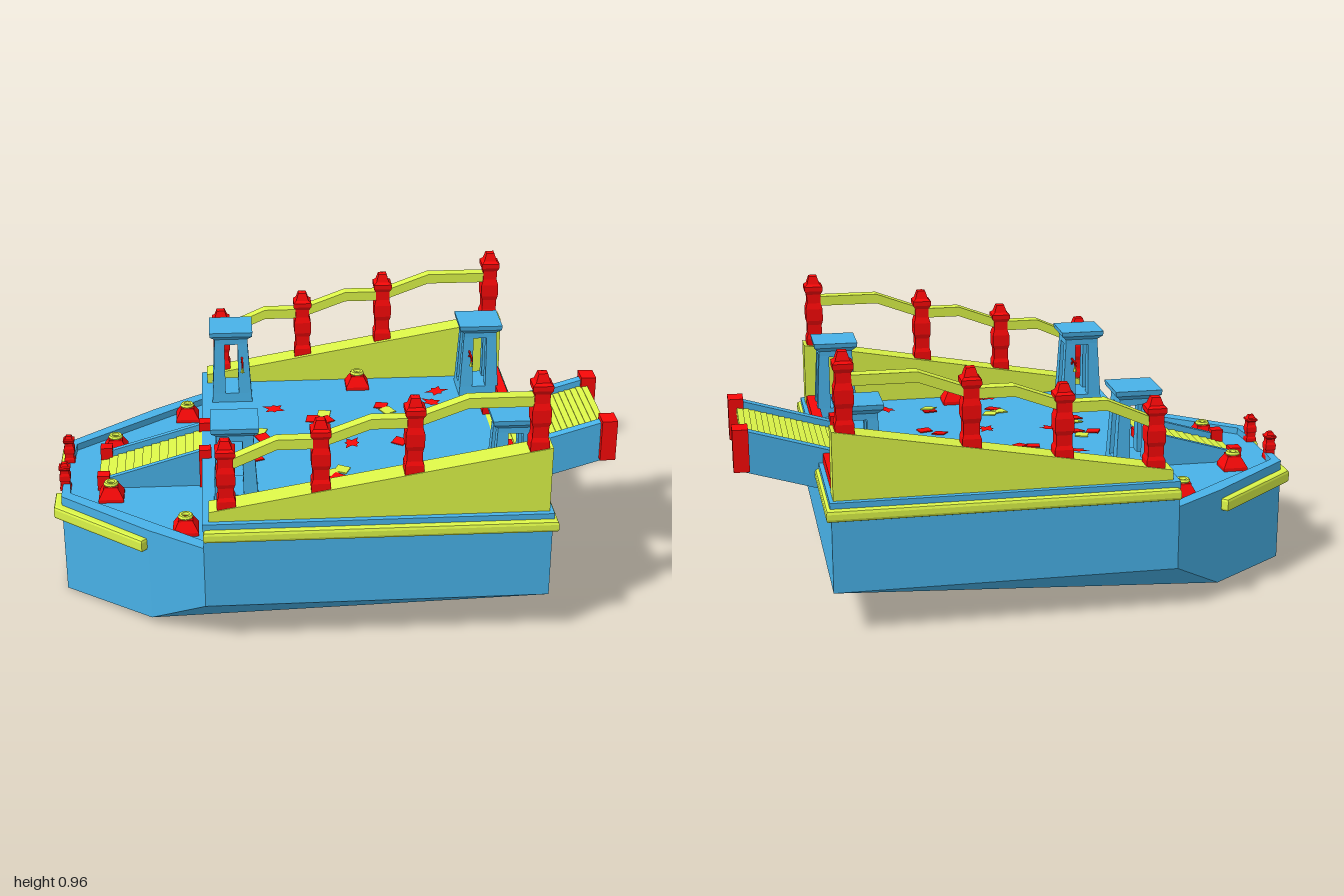
import * as THREE from 'three';

const mat = (color) => new THREE.MeshStandardMaterial({ color, flatShading: true, side: THREE.DoubleSide });

export function createModel() {
  const root = new THREE.Group();
  const blue = mat(0x48b2e8), red = mat(0xf80808), lime = mat(0xdcf548);

  const add = (name, geo, material, parent = root) => {
    const m = new THREE.Mesh(geo, material);
    m.name = name;
    parent.add(m);
    return m;
  };
  // box given by its limits
  const box = (name, material, x0, x1, y0, y1, z0, z1, parent) => {
    const m = add(name, new THREE.BoxGeometry(x1 - x0, y1 - y0, z1 - z0), material, parent);
    m.position.set((x0 + x1) / 2, (y0 + y1) / 2, (z0 + z1) / 2);
    return m;
  };
  const shape = (pts) => new THREE.Shape(pts.map((p) => new THREE.Vector2(...p)));
  // side outline (x, y) extruded from z0 to z1
  const prism = (name, material, pts, z0, z1, parent) =>
    add(name, new THREE.ExtrudeGeometry(shape(pts), { depth: z1 - z0, bevelEnabled: false }).translate(0, 0, z0), material, parent);
  // plan outline (x, z) extruded from y0 to y1, with optional rounded edge
  const slab = (name, material, pts, y0, y1, parent, bevel = 0) =>
    add(name, new THREE.ExtrudeGeometry(shape(pts), {
      depth: y1 - y0 - 2 * bevel, bevelEnabled: bevel > 0, bevelSize: bevel,
      bevelThickness: bevel, bevelOffset: -bevel, bevelSegments: 2,
    }).rotateX(Math.PI / 2).translate(0, y1 - bevel, 0), material, parent);
  // square-section turned shape, profile of [half width, y]
  const squareLathe = (profile) => new THREE.LatheGeometry(
    profile.map(([w, y]) => new THREE.Vector2(w * Math.SQRT2, y)), 4, Math.PI / 4);

  const DECK = 0.465, BOW = 0.35;

  // hull: sloping bottom plane, chine triangles and walls
  const pos = [];
  const face = (...p) => {
    for (let i = 1; i < p.length - 1; i++) pos.push(...p[0], ...p[i], ...p[i + 1]);
  };
  const keel = [[0.704, 0.15, 0.624], [-0.47, 0.15, 0.624], [-0.66, 0.028, 0.485], [-0.97, 0.003, 0.22]];
  const flip = ([x, y, z]) => [x, y, -z];
  const up = ([x, , z]) => [x, BOW, z];
  const [A, B, C, D] = keel;
  face(A, C, D, flip(D), flip(C), flip(A));
  face(A, B, C);
  face(flip(A), flip(C), flip(B));
  for (let i = 0; i < 3; i++) {
    const p = keel[i], q = keel[i + 1];
    face(p, up(p), up(q), q);
    face(flip(p), flip(q), up(flip(q)), up(flip(p)));
  }
  face(D, up(D), up(flip(D)), flip(D));
  face(A, flip(A), up(flip(A)), up(A));
  face(up(B), up(flip(B)), up(flip(C)), up(flip(D)), up(D), up(C));
  const hull = new THREE.BufferGeometry();
  hull.setAttribute('position', new THREE.Float32BufferAttribute(pos, 3));
  hull.computeVertexNormals();
  add('hull', hull, blue);
  box('upperHull', blue, -0.47, 0.704, BOW, 0.445, -0.624, 0.624);
  box('mainDeck', blue, -0.472, 0.708, 0.44, DECK, -0.626, 0.626);

  // rubbing belt round the sides and stern
  slab('belt', lime, [[-0.47, -0.648], [0.722, -0.648], [0.722, 0.648], [-0.47, 0.648],
    [-0.47, 0.6], [0.68, 0.6], [0.68, -0.6], [-0.47, -0.6]], 0.403, 0.445, root, 0.012);

  // baluster post
  const postGeo = (h, s = 1) => squareLathe([[0, 0], [0.032, 0], [0.032, 0.13], [0.027, 0.18], [0.027, 0.32],
    [0.032, 0.38], [0.032, 0.54], [0.026, 0.62], [0.026, 0.74], [0.034, 0.79], [0.034, 0.85],
    [0.024, 0.88], [0.015, 0.985], [0, 1]].map(([w, y]) => [w * s, y * h]));
  const wedgeTop = (x) => 0.5 + 0.2 * (x + 0.45) / 1.145;
  const bollardGeo = squareLathe([[0, 0], [0.044, 0], [0.044, 0.012], [0.025, 0.046], [0.025, 0.052], [0, 0.052]]);

  // mirrored pair of everything along the two sides
  for (const side of [1, -1]) {
    const g = new THREE.Group();
    g.name = side > 0 ? 'frontSide' : 'backSide';
    g.scale.z = side;
    root.add(g);

    slab('bowRim', blue, [[-0.97, 0.11], [-0.97, 0.22], [-0.66, 0.485], [-0.47, 0.624], [-0.47, 0.57], [-0.94, 0.195], [-0.945, 0.11]],
      BOW, 0.375, g);
    slab('bowRubRail', lime, [[-0.998, 0.12], [-0.998, 0.235], [-0.682, 0.502], [-0.66, 0.478], [-0.96, 0.218], [-0.96, 0.12]],
      0.295, 0.342, g, 0.01);
    add('bowPost', postGeo(0.105, 0.6), red, g).position.set(-0.962, BOW, 0.11);

    prism('bulwark', lime, [[-0.45, DECK], [0.695, DECK], [0.695, 0.7], [-0.45, 0.5]], 0.522, 0.606, g);
    [[-0.39, 0.755], [-0.075, 0.82], [0.235, 0.89], [0.65, 0.965]].forEach(([x, top]) => {
      const y = wedgeTop(x) - 0.008;
      add('railPost', postGeo(top - y), red, g).position.set(x, y, 0.57);
    });
    const rail = [[-0.39, 0.66], [-0.22, 0.735], [-0.085, 0.735], [0.09, 0.8], [0.235, 0.8], [0.41, 0.865], [0.65, 0.865]];
    prism('handrail', lime, [...rail.map(([x, y]) => [x, y + 0.018]),
      ...rail.map(([x, y]) => [x, y - 0.018]).reverse()], 0.548, 0.592, g);

    box('sternSill', red, 0.655, 0.692, DECK, 0.5, 0.2, 0.522, g);

    [[-0.795, BOW, 0.19], [-0.53, BOW, 0.45], [0.13, DECK, 0.455]].forEach((p) => {
      const b = new THREE.Group();
      b.name = 'bollard';
      b.position.set(...p);
      g.add(b);
      add('bollardBase', bollardGeo, red, b);
      add('bollardRing', new THREE.TorusGeometry(0.018, 0.009, 6, 12).rotateX(Math.PI / 2).translate(0, 0.056, 0), lime, b);
    });

    // open four-legged towers, each with a lantern bracket facing inwards
    for (const [x, inward] of [[-0.355, 1], [0.59, -1]]) {
      const t = new THREE.Group();
      t.name = 'tower';
      t.position.set(x, DECK, 0.415);
      t.scale.x = inward;
      g.add(t);
      add('towerBase', squareLathe([[0, 0], [0.076, 0], [0.073, 0.035], [0, 0.035]]), blue, t);
      for (const sx of [1, -1]) for (const sz of [1, -1]) {
        const leg = new THREE.BoxGeometry(0.048, 0.2, 0.048).translate(sx * 0.049, 0.135, sz * 0.049);
        const p = leg.attributes.position;
        for (let i = 0; i < p.count; i++) {
          if (p.getY(i) < 0.2) continue;
          if (Math.abs(p.getX(i)) > 0.05) p.setX(i, sx * 0.062);
          if (Math.abs(p.getZ(i)) > 0.05) p.setZ(i, sz * 0.062);
        }
        add('towerLeg', leg, blue, t);
      }
      add('towerRoof', squareLathe([[0, 0.23], [0.062, 0.23], [0.062, 0.252], [0.079, 0.268], [0.081, 0.285], [0, 0.285]]), blue, t);
      const arm = new THREE.CatmullRomCurve3([[0.15, -0.055], [0.172, -0.085], [0.176, -0.115], [0.165, -0.132]]
        .map(([y, z]) => new THREE.Vector3(0.04, y, z)));
      add('lanternArm', new THREE.TubeGeometry(arm, 8, 0.004, 5), red, t);
      add('lanternStay', new THREE.BoxGeometry(0.006, 0.006, 0.075).translate(0.04, 0.178, -0.097), red, t);
      add('lantern', new THREE.CylinderGeometry(0.003, 0.008, 0.02, 6).translate(0.04, 0.152, -0.123), lime, t);
    }
  }

  // slatted ramp rising towards +x; hollow side rails reach down to the heights in foot
  const ramp = (name, x0, y0, x1, y1, half, n, railW, foot) => {
    const g = new THREE.Group();
    g.name = name;
    root.add(g);
    const angle = Math.atan2(y1 - y0, x1 - x0), step = Math.hypot(x1 - x0, y1 - y0) / n;
    for (let i = 0; i < n; i++) {
      const t = (i + 0.5) / n;
      const s = add('slat', new THREE.BoxGeometry(step, 0.018, half * 2), lime, g);
      s.position.set(x0 + (x1 - x0) * t, y0 + (y1 - y0) * t - 0.008, 0);
      s.rotation.z = angle - 0.16;
    }
    const top = [[x1, y1 + 0.025], [x0, y0 + 0.025]];
    for (const z of [half, -half - railW]) {
      for (const dz of [0, railW - 0.002]) {
        prism('rampRailSide', blue, [[x0, foot[0]], [x1, foot[1]], ...top], z + dz, z + dz + 0.002, g);
      }
      prism('rampRailCap', blue, [[x0, y0 + 0.022], [x1, y1 + 0.022], ...top], z, z + railW, g);
    }
    return g;
  };
  const bowRamp = ramp('bowRamp', -0.845, 0.355, -0.47, 0.465, 0.1, 12, 0.02, [BOW, BOW]);
  const sternRamp = ramp('sternRamp', 0.59, 0.462, 0.97, 0.575, 0.168, 18, 0.036, [0.337, 0.45]);
  for (const s of [1, -1]) {
    const post = (x, w, y0, y1, z, parent) =>
      box('rampPost', red, x - w, x + w, y0, y1, s * z - w, s * z + w, parent);
    post(-0.825, 0.022, BOW, 0.405, 0.112, bowRamp);
    post(-0.46, 0.022, BOW, 0.497, 0.112, bowRamp);
    post(0.607, 0.027, DECK - 0.02, 0.52, 0.19, sternRamp);
    box('rampEndPost', red, 0.945, 1, 0.455, 0.607, s * 0.19 - 0.037, s * 0.19 + 0.037, sternRamp);
  }

  // paper scraps and leaves scattered on the deck
  const scrap = new THREE.CylinderGeometry(0.033, 0.033, 0.004, 4);
  const scatter = (name, geo, material, list) => list.forEach(([x, z], i) => {
    const m = add(name, geo, material);
    m.position.set(x, DECK + 0.004, z);
    m.rotation.set(0.06, i * 2.3 + 0.6, 0.05);
  });
  scatter('limeScrap', scrap, lime, [[-0.015, -0.2], [0.225, -0.215], [-0.26, -0.065], [-0.27, 0.1], [0.02, 0.26], [-0.02, 0.285], [0.24, 0.37]]);
  scatter('redScrap', scrap, red, [[-0.06, -0.16], [-0.01, -0.15], [0.205, -0.26], [-0.25, -0.015], [-0.31, -0.03],
    [-0.28, 0.15], [0.245, 0.05], [0.295, 0.095], [0, 0.32], [0.24, 0.335]]);
  const star = [];
  for (let i = 0; i < 12; i++) {
    const r = i % 2 ? 0.021 : 0.038 + 0.012 * Math.sin(i * 2.1);
    star.push([r * Math.cos(i * Math.PI / 6), r * Math.sin(i * Math.PI / 6)]);
  }
  const leaf = new THREE.ShapeGeometry(shape(star)).rotateX(-Math.PI / 2).translate(0, 0.004, 0);
  scatter('leaf', leaf, red, [[-0.2, -0.25], [-0.16, 0.03], [0.07, 0.06], [0.43, -0.37], [0.4, -0.27], [0.4, 0.37], [-0.01, 0.45], [0.05, 0.44]]);

  return root;
}
